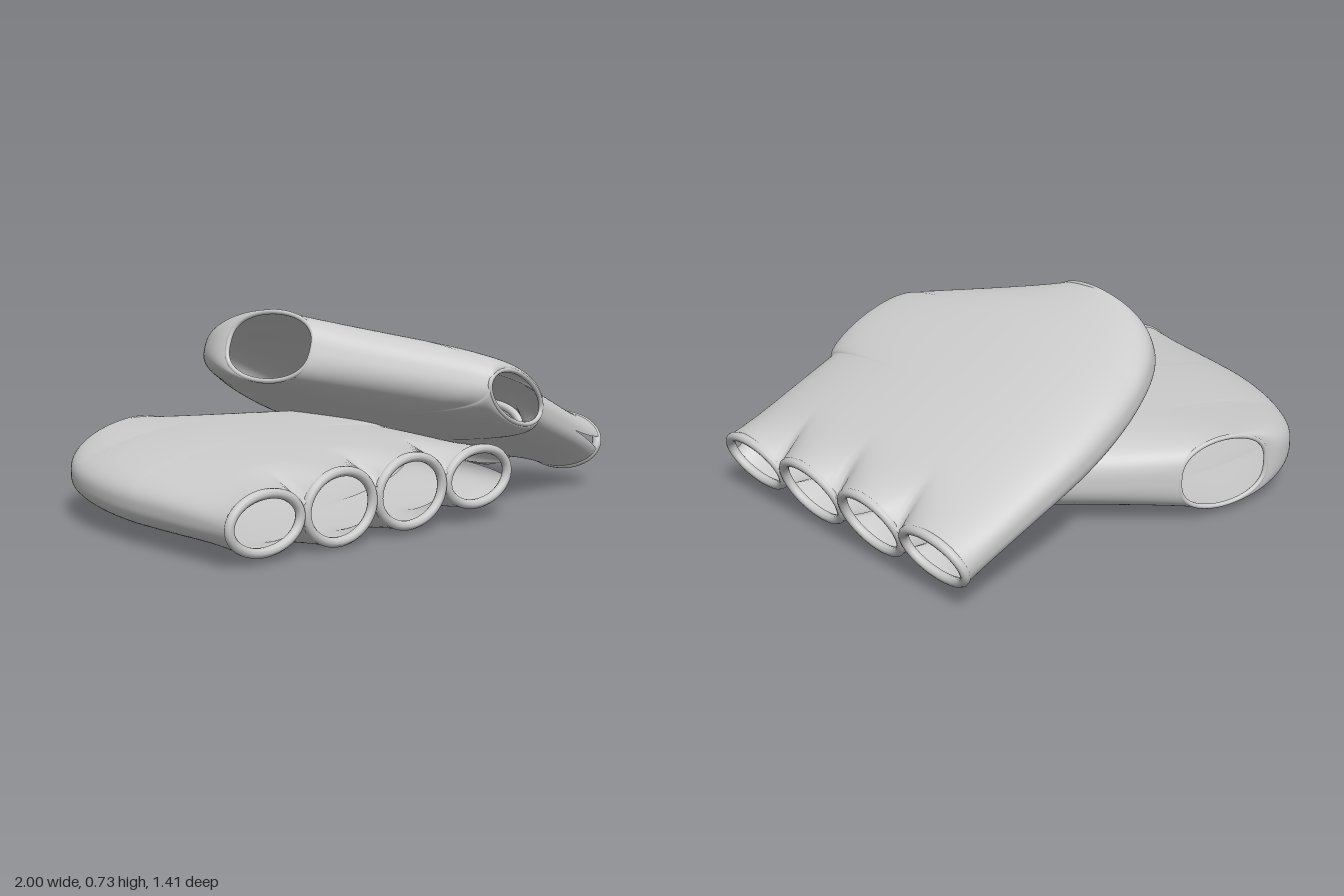
import * as THREE from 'three';

const material = new THREE.MeshStandardMaterial({ color: 0xcccccc, side: THREE.DoubleSide });

// Local frame of a glove: fingers point to +x, thumb side is +z, back of the hand is +y.
// s is the distance from the finger ends towards the wrist.
const LENGTH = 1.2;
const FINGERS = [ // centre z, half width, half height
  [0.535, 0.165, 0.11], [0.205, 0.165, 0.13], [-0.12, 0.16, 0.13], [-0.44, 0.16, 0.107],
];
const THUMB = { s: 0.71, half: 0.2, height: 0.085, z: 0.695 };
const FULLNESS = 0.75;

// Outline of the hand on the little-finger side and on the thumb side
function outerEdge(s) {
  const t = Math.min(1, Math.max(0, (s - 0.45) / 0.75));
  return -0.6 + 0.35 * (1 - Math.sqrt(1 - t * t));
}
function thumbEdge(s) {
  const t = Math.max(0, (s - 0.92) / (LENGTH - 0.92));
  return THUMB.z - (THUMB.z - 0.13) * t;
}
const halfThickness = (s) => 0.133 + 0.02 * Math.sin(Math.PI * s / LENGTH);

// Half height of the thumb opening, zero elsewhere
function thumbGap(s) {
  const t = (s - THUMB.s) / THUMB.half;
  return THUMB.height * Math.sqrt(Math.max(0, 1 - t * t));
}

// Half height of the row of finger openings
function fingerHeight(z) {
  return Math.max(0.004, ...FINGERS.map(([c, a, b]) =>
    b * Math.sqrt(Math.max(0, 1 - ((z - c) / a) ** 2))));
}

// Half a cross-section: angle 0 is the thumb side, PI the little-finger side
function sectionPoint(s, angle) {
  const lo = outerEdge(s), hi = thumbEdge(s), gap = thumbGap(s);
  const z = (lo + hi) / 2 + (hi - lo) / 2 * Math.cos(angle);
  const sine = Math.max(0, Math.sin(angle)) ** FULLNESS;
  // the thumb gap only lifts the thumb half
  const lift = gap * Math.max(0, Math.cos(angle / 2)) ** 2 * (1 - sine);
  let y = halfThickness(s) * sine + lift;
  const fade = Math.max(0, 1 - s / 0.24) ** 2;
  if (fade > 0) y += (fingerHeight(z) - y) * fade;
  return [y, z];
}

// Section stations, closer together at the thumb opening and at both ends
function stations() {
  const list = [];
  const a = THUMB.s - THUMB.half, b = THUMB.s + THUMB.half;
  for (let i = 0; i < 16; i++) list.push(a * (i / 16) ** 1.4);
  for (let i = 0; i < 28; i++) list.push(a + (b - a) * (1 - Math.cos(Math.PI * i / 28)) / 2);
  for (let i = 0; i <= 20; i++) list.push(b + (LENGTH - b) * Math.sin(Math.PI / 2 * i / 20));
  return list;
}

// Hollow hand shell lofted through the sections
function shellGeometry() {
  const half = 110, cols = 2 * half + 1;
  const positions = [], index = [];
  const rows = stations();
  rows.forEach((s, i) => {
    for (let j = 0; j < cols; j++) {
      const angle = Math.PI * (j <= half ? j : 2 * half - j) / half;
      const [y, z] = sectionPoint(s, angle);
      positions.push(-s, j <= half ? y : -y, z);
      if (i < rows.length - 1 && j < cols - 1) {
        const a = i * cols + j, b = a + cols;
        index.push(a, a + 1, b, a + 1, b + 1, b);
      }
    }
  });
  const geometry = new THREE.BufferGeometry();
  geometry.setAttribute('position', new THREE.Float32BufferAttribute(positions, 3));
  geometry.setIndex(index);
  geometry.computeVertexNormals();
  return geometry;
}

// Rolled hem along a closed loop
function hem(name, radius, pointAt) {
  const points = [];
  for (let i = 0; i < 40; i++) points.push(pointAt(2 * Math.PI * i / 40));
  const curve = new THREE.CatmullRomCurve3(points, true);
  const mesh = new THREE.Mesh(new THREE.TubeGeometry(curve, 80, radius, 10, true), material);
  mesh.name = name;
  return mesh;
}

function makeGlove(name) {
  const glove = new THREE.Group();
  glove.name = name;
  const shell = new THREE.Mesh(shellGeometry(), material);
  shell.name = 'handShell';
  glove.add(shell);

  // Finger hems
  FINGERS.forEach(([c, a, b], i) => glove.add(hem('fingerHem' + (i + 1), 0.017, (t) =>
    new THREE.Vector3(-0.008, (b - 0.013) * Math.sin(t), c + (a - 0.013) * Math.cos(t)))));

  // Thumb hem
  glove.add(hem('thumbHem', 0.009, (t) => new THREE.Vector3(
    -THUMB.s + THUMB.half * Math.cos(t), THUMB.height * Math.sin(t), THUMB.z - 0.005)));

  // Wrist hem
  glove.add(hem('wristHem', 0.009, (t) => {
    const [y, z] = sectionPoint(LENGTH, t <= Math.PI ? t : 2 * Math.PI - t);
    return new THREE.Vector3(-LENGTH + 0.006, 0.96 * (t <= Math.PI ? y : -y), -0.06 + 0.97 * (z + 0.06));
  }));
  return glove;
}

export function createModel() {
  const model = new THREE.Group();
  model.name = 'fingerlessGloves';

  // Upper glove leans on the lower one
  const upper = makeGlove('upperGlove');
  upper.position.set(0.945, 0.185, 0);
  upper.rotation.z = -0.37;

  // Lower glove is turned over, so its thumb is on the other side
  const lower = makeGlove('lowerGlove');
  lower.position.set(-0.416, 0.163, 0.525);
  lower.rotation.set(Math.PI + 0.03, -1.798, -0.018, 'YZX');

  model.add(upper, lower);
  return model;
}
